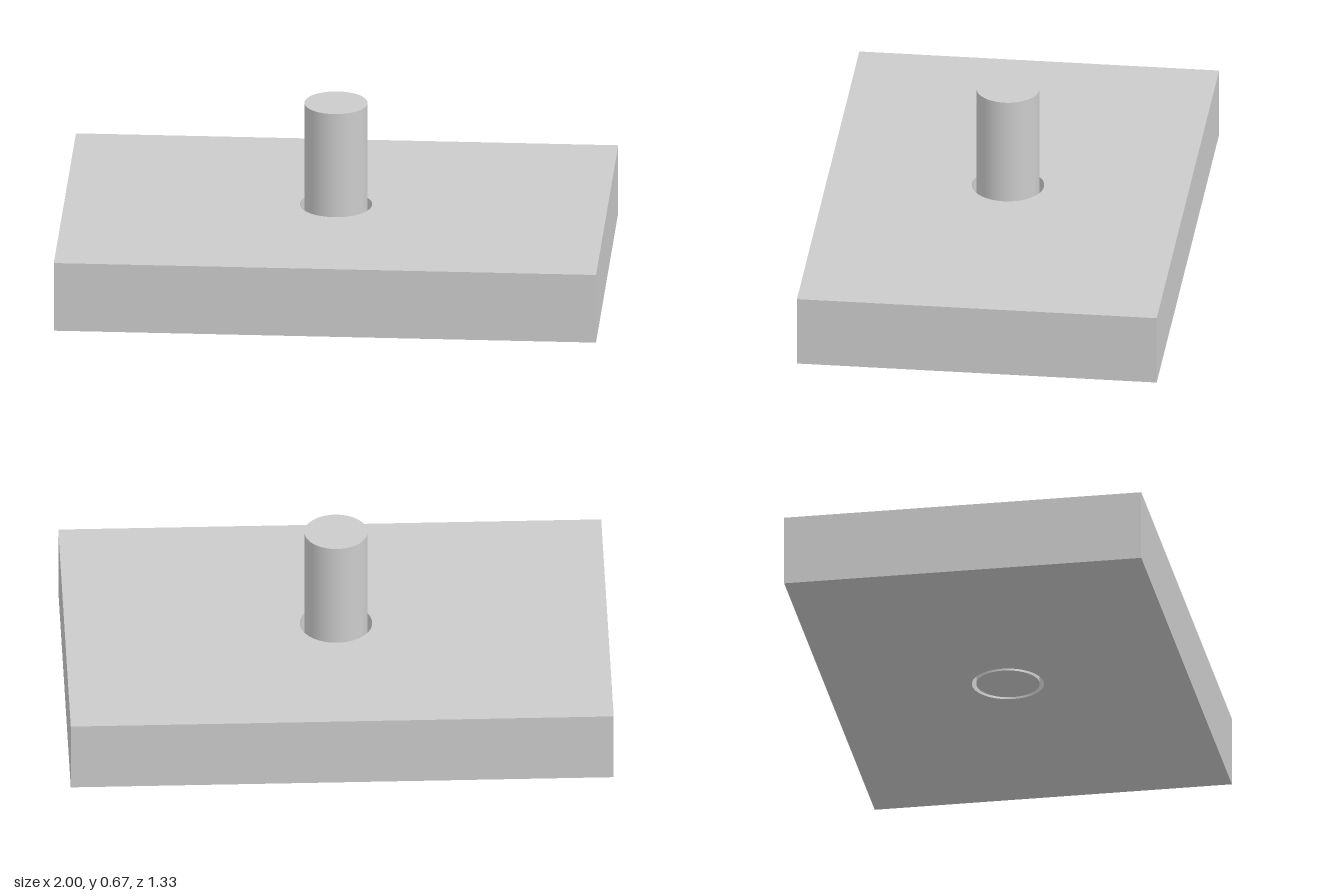
import * as THREE from 'three';
import { toCreasedNormals } from 'three/addons/utils/BufferGeometryUtils.js';

const WIDTH = 2, DEPTH = 1.3333, THICKNESS = 0.2667;
const HOLE_RADIUS = 0.1333, PIN_RADIUS = 0.1167, PIN_HEIGHT = 0.6667;

export function createModel() {
  const group = new THREE.Group();
  group.name = 'pinInPlate';
  const material = new THREE.MeshStandardMaterial({ color: 0xcccccc });

  // Rectangular plate with a round clearance hole right through it
  const outline = new THREE.Shape([
    new THREE.Vector2(-WIDTH / 2, -DEPTH / 2),
    new THREE.Vector2(WIDTH / 2, -DEPTH / 2),
    new THREE.Vector2(WIDTH / 2, DEPTH / 2),
    new THREE.Vector2(-WIDTH / 2, DEPTH / 2),
  ]);
  outline.holes.push(new THREE.Path().absarc(0, 0, HOLE_RADIUS, 0, Math.PI * 2, true));
  const plateGeometry = new THREE.ExtrudeGeometry(outline, {
    depth: THICKNESS, bevelEnabled: false, curveSegments: 32,
  });
  plateGeometry.rotateX(-Math.PI / 2);
  const plate = new THREE.Mesh(toCreasedNormals(plateGeometry, Math.PI / 6), material);
  plate.name = 'plate';
  group.add(plate);

  // Pin standing in the hole, its foot flush with the underside
  const pin = new THREE.Mesh(
    new THREE.CylinderGeometry(PIN_RADIUS, PIN_RADIUS, PIN_HEIGHT, 64), material);
  pin.position.y = PIN_HEIGHT / 2;
  pin.name = 'pin';
  group.add(pin);

  return group;
}
